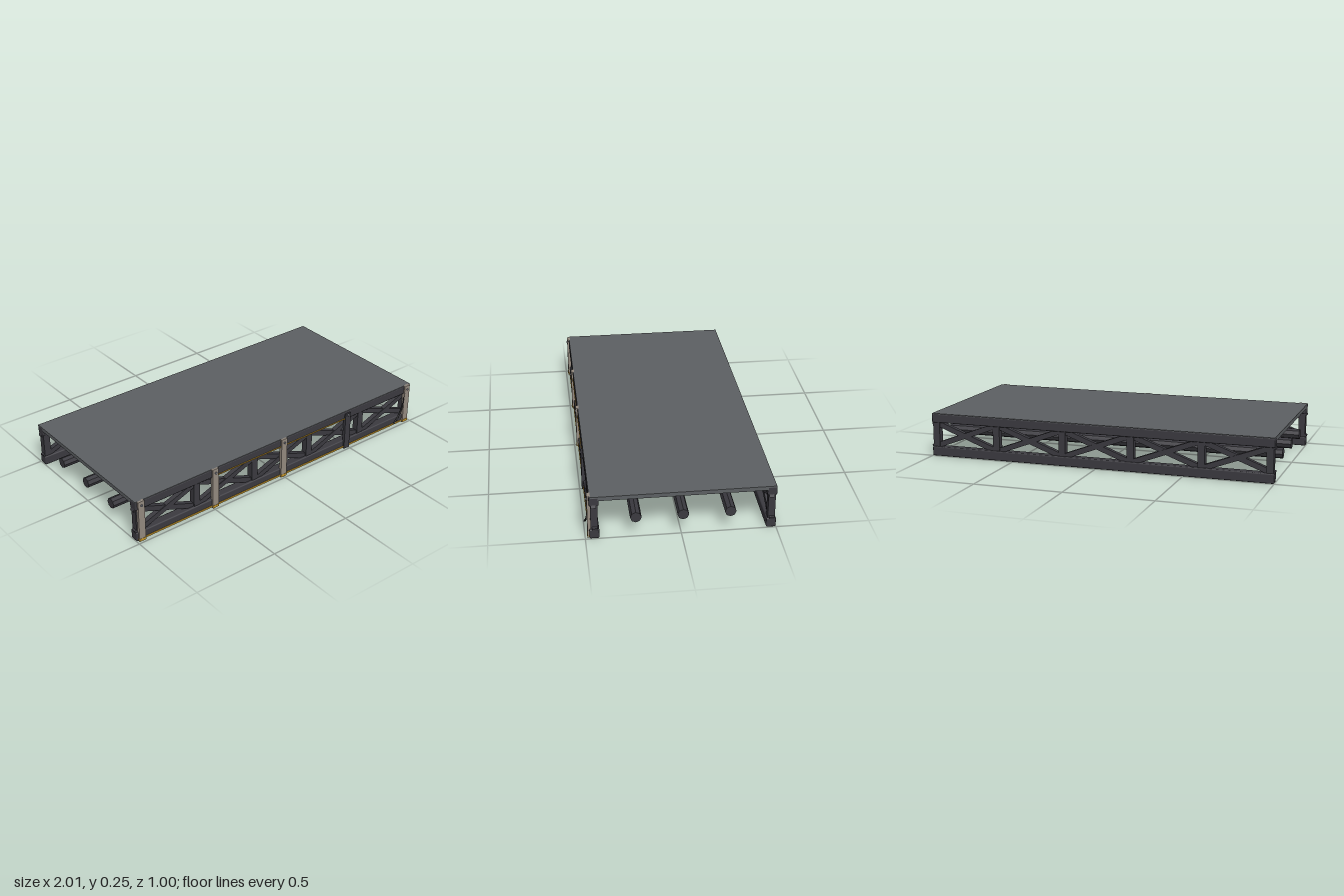
import * as THREE from 'three';
import { RoundedBoxGeometry } from 'three/addons/geometries/RoundedBoxGeometry.js';

const mat = (name, color) => {
  const m = new THREE.MeshStandardMaterial({ color });
  m.name = name;
  return m;
};

export function createModel() {
  const steel = mat('dark steel', 0x3b3a40);
  const deckGrey = mat('deck grey', 0x5d6063);
  const concrete = mat('weathered beige', 0x958b80);
  const yellow = mat('safety yellow', 0xc4952a);
  const rubber = mat('black rubber', 0x222225);
  const boltGrey = mat('bolt grey', 0x85868f);

  const model = new THREE.Group();
  model.name = 'trussPlatform';

  const add = (parent, name, geometry, material, x, y, z) => {
    const mesh = new THREE.Mesh(geometry, material);
    mesh.name = name;
    mesh.position.set(x, y, z);
    parent.add(mesh);
    return mesh;
  };
  const box = (w, h, d) => new THREE.BoxGeometry(w, h, d);

  // Deck plate
  add(model, 'deck', box(1.998, 0.023, 0.972), deckGrey, 0, 0.2375, -0.011);

  // Side trusses: bevelled chords, uprights and crossed braces
  const bays = 5, bay = 0.4, low = 0.05, high = 0.2;
  const braceLength = Math.hypot(bay, high - low);
  const braceAngle = Math.atan2(high - low, bay);
  const truss = (name, z) => {
    const side = new THREE.Group();
    side.name = name;
    side.position.z = z;
    model.add(side);
    add(side, 'bottomChord', new RoundedBoxGeometry(2, 0.055, 0.052, 1, 0.007), steel, 0, 0.0275, 0);
    add(side, 'topChord', new RoundedBoxGeometry(2, 0.052, 0.052, 1, 0.007), steel, 0, 0.221, 0);
    for (let i = 0; i <= bays; i++) {
      const x = THREE.MathUtils.clamp(-1 + i * bay, -0.975, 0.975);
      add(side, 'upright', box(0.04, 0.16, 0.038), steel, x, 0.125, 0);
    }
    for (let i = 0; i < bays; i++) {
      for (const s of [-1, 1]) {
        const brace = add(side, 'brace', box(braceLength, 0.03, 0.028), steel,
          -0.8 + i * bay, 0.125, s * 0.002);
        brace.rotation.z = s * braceAngle;
      }
    }
  };
  truss('frontTruss', 0.452);
  truss('backTruss', -0.474);

  // Three octagonal pipes under the deck
  const pipe = new THREE.CylinderGeometry(0.03, 0.03, 1.998, 8).toNonIndexed();
  pipe.computeVertexNormals();
  for (const z of [0.237, -0.01, -0.258]) {
    add(model, 'pipe', pipe, steel, 0, 0.113, z).rotation.z = Math.PI / 2;
  }

  // Front posts with yellow feet and bolts; one post is bare steel
  for (const x of [-0.968, -0.485, 0, 0.485, 0.968]) {
    const bare = x === 0.485;
    add(model, 'frontPost', box(0.04, bare ? 0.235 : 0.249, 0.018), bare ? steel : concrete,
      x, bare ? 0.1175 : 0.1245, 0.478);
    if (!bare) add(model, 'postFoot', box(0.041, 0.016, 0.003), yellow, x, 0.009, 0.487);
    const bolt = add(model, 'bolt', new THREE.CylinderGeometry(0.007, 0.007, 0.008, 6),
      boltGrey, x, 0.225, 0.489);
    bolt.rotation.x = Math.PI / 2;
  }

  // Yellow edge strips
  add(model, 'bottomStripe', box(1.98, 0.01, 0.004), yellow, 0, 0.011, 0.479);
  add(model, 'topStripe', box(0.97, 0.006, 0.004), yellow, 0, 0.202, 0.479);

  // Loose hanging cable
  const path = new THREE.CatmullRomCurve3([
    new THREE.Vector3(0.955, 0.205, 0.482),
    new THREE.Vector3(0.945, 0.13, 0.483),
    new THREE.Vector3(0.915, 0.07, 0.489),
    new THREE.Vector3(0.865, 0.025, 0.496),
  ]);
  add(model, 'cable', new THREE.TubeGeometry(path, 14, 0.005, 6), rubber, 0, 0, 0);

  return model;
}
